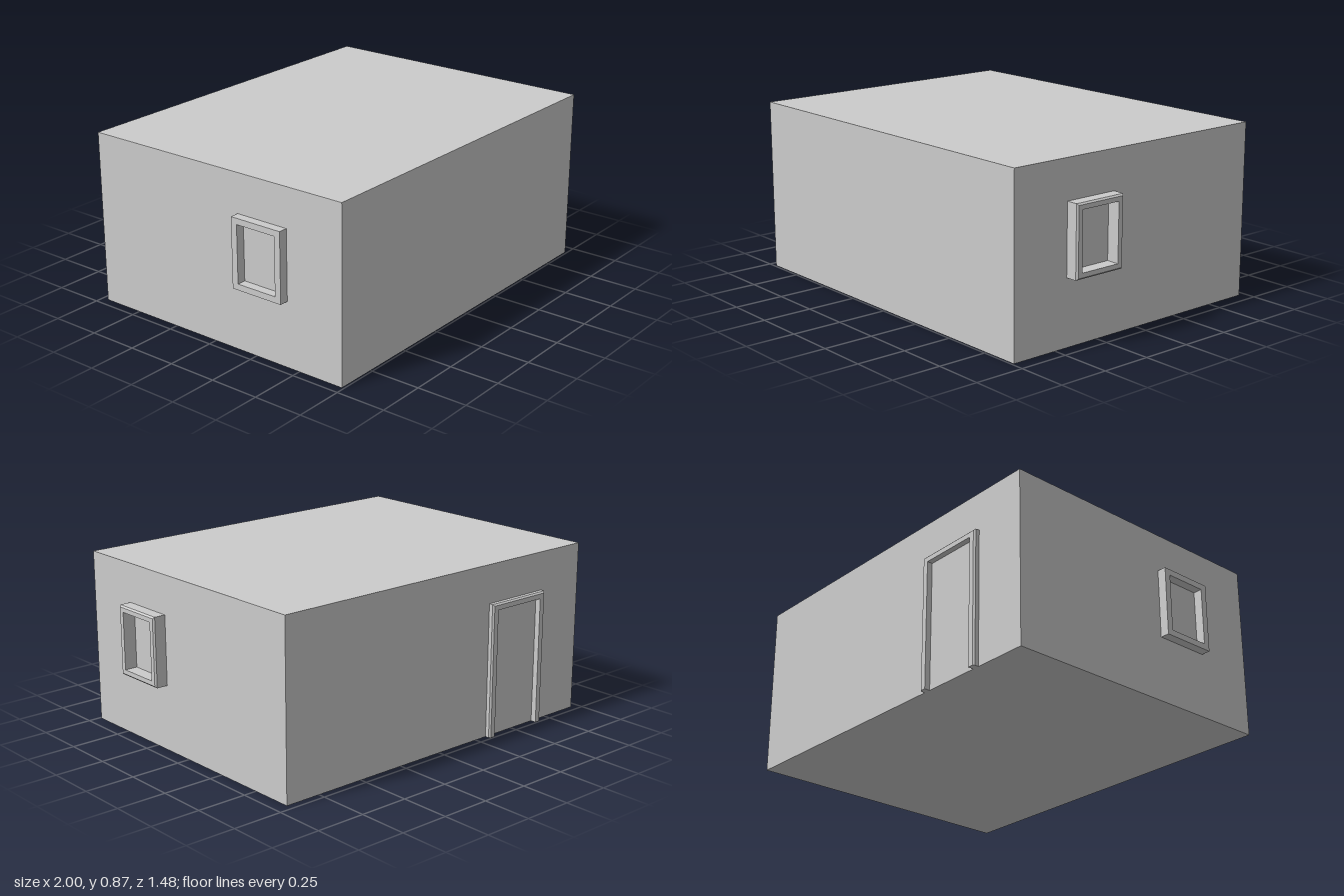
import * as THREE from 'three';

const material = new THREE.MeshStandardMaterial({ color: 0xcccccc, flatShading: true });

function polygon(points, Type = THREE.Shape) {
  return new Type(points.map(([x, y]) => new THREE.Vector2(x, y)));
}

// Extrudes a frame along +z and chamfers the outer rim of its far end.
function frameGeometry(shape, depth, chamfer, hw, bottom, top) {
  const geometry = new THREE.ExtrudeGeometry(shape, { depth, steps: 2, bevelEnabled: false });
  const p = geometry.attributes.position;
  for (let i = 0; i < p.count; i++) {
    const z = p.getZ(i);
    if (z > depth * 0.75) {
      p.setX(i, THREE.MathUtils.clamp(p.getX(i), -hw + chamfer, hw - chamfer));
      p.setY(i, THREE.MathUtils.clamp(p.getY(i), bottom, top - chamfer));
    } else if (z > depth * 0.25) {
      p.setZ(i, depth - chamfer);
    }
  }
  geometry.computeVertexNormals();
  return geometry;
}

export function createModel() {
  const group = new THREE.Group();
  const add = (name, geometry, x, y, z, turn = 0) => {
    const mesh = new THREE.Mesh(geometry, material);
    mesh.name = name;
    mesh.position.set(x, y, z);
    mesh.rotation.y = turn;
    group.add(mesh);
  };

  // Solid house block
  add('houseBody', new THREE.BoxGeometry(1.89, 0.865, 1.455), -0.01, 0.4325, 0.0125);

  // Window frames, one per side wall, both facing the same way
  const w = 0.14, h = 0.173, iw = 0.108, ih = 0.143, c = 0.008;
  const windowShape = polygon([[-w, -h], [w, -h], [w, h], [-w, h]]);
  windowShape.holes.push(polygon([[-iw, -ih], [-iw, ih], [iw, ih], [iw, -ih]], THREE.Path));
  const windowFrame = frameGeometry(windowShape, 0.065, c, w, -h + c, h);
  add('leftWindowFrame', windowFrame, 0.935, 0.498, 0.296, Math.PI / 2);
  add('rightWindowFrame', windowFrame, -1, 0.498, 0.296, Math.PI / 2);

  // Door frame on the back wall, open at the ground
  const dw = 0.183, di = 0.148, dh = 0.672, dt = 0.64;
  const doorShape = polygon([
    [-dw, 0], [-di, 0], [-di, dt], [di, dt], [di, 0], [dw, 0], [dw, dh], [-dw, dh],
  ]);
  add('doorFrame', frameGeometry(doorShape, 0.03, c, dw, 0, dh), -0.502, 0, -0.713, Math.PI);

  return group;
}
